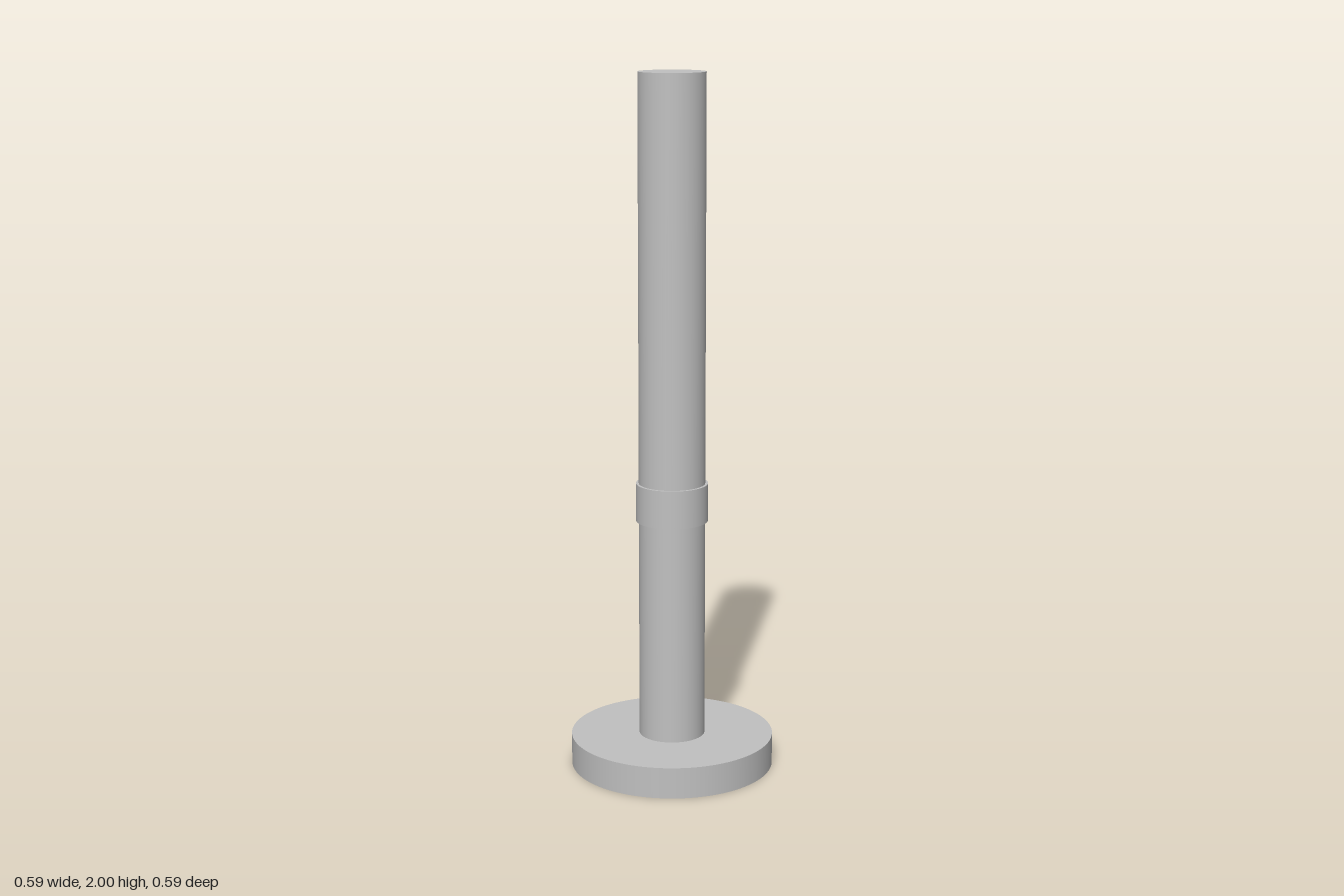
import * as THREE from 'three';

const SEG = 96;
const BASE_R = 0.293, BASE_H = 0.09;
const POLE_R = 0.095, COLLAR_R = 0.103;
const SLOT_W = 0.06, SLOT_L = 0.42, SLOT_D = 0.035;

export function createModel() {
  const model = new THREE.Group();
  const metal = new THREE.MeshStandardMaterial({ color: 0xc0c0c0 });
  metal.name = 'light grey metal';

  const add = (parent, name, geometry, y = 0) => {
    const mesh = new THREE.Mesh(geometry, metal);
    mesh.name = name;
    mesh.position.y = y;
    parent.add(mesh);
    return mesh;
  };
  const rod = (name, radius, y0, y1) =>
    add(model, name, new THREE.CylinderGeometry(radius, radius, y1 - y0, SEG), (y0 + y1) / 2);

  // Round foot, with a slot cut into its underside
  const base = new THREE.Group();
  base.name = 'base';
  model.add(base);
  add(base, 'baseRim', new THREE.CylinderGeometry(BASE_R, BASE_R, BASE_H, SEG, 1, true), BASE_H / 2);
  add(base, 'baseTop', new THREE.CircleGeometry(BASE_R, SEG).rotateX(-Math.PI / 2), BASE_H);

  const underside = new THREE.Shape().absarc(0, 0, BASE_R, 0, Math.PI * 2);
  const w = SLOT_W / 2, l = SLOT_L / 2;
  underside.holes.push(new THREE.Path([[-w, -l], [-w, l], [w, l], [w, -l]]
    .map(([x, y]) => new THREE.Vector2(x, y))));
  add(base, 'baseUnderside', new THREE.ShapeGeometry(underside, SEG / 2).rotateX(Math.PI / 2));

  // Slot lining: a box turned inside out, with its lower face left off
  const slot = new THREE.BoxGeometry(SLOT_W, SLOT_D, SLOT_L).scale(-1, -1, -1);
  const index = Array.from(slot.index.array);
  index.splice(12, 6);
  slot.setIndex(index);
  slot.clearGroups();
  slot.computeVertexNormals();
  add(base, 'baseSlot', slot, SLOT_D / 2);

  // Post and the collar around it
  rod('post', POLE_R, BASE_H, 2);
  rod('collar', COLLAR_R, 0.73, 0.84);

  return model;
}
